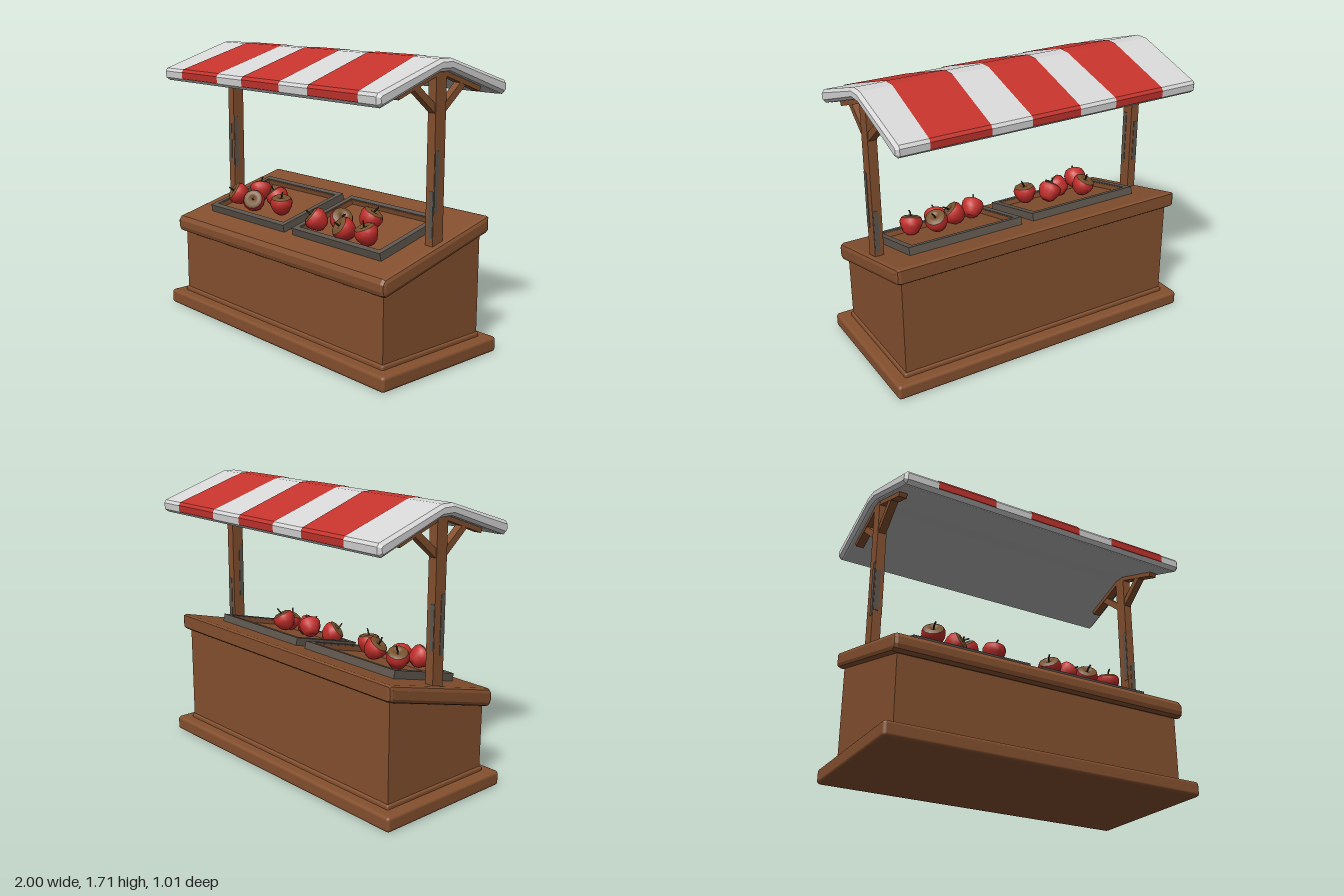
import * as THREE from 'three';
import { RoundedBoxGeometry } from 'three/addons/geometries/RoundedBoxGeometry.js';

const mat = (name, color, side = THREE.FrontSide) => {
  const m = new THREE.MeshStandardMaterial({ color, side });
  m.name = name;
  return m;
};

export function createModel() {
  const wood = mat('brown wood', 0x84502f);
  const worn = mat('worn grey wood', 0x5e564e);
  const white = mat('white canvas', 0xd8d8d8);
  const shade = mat('canvas lining', 0xb4b4b4, THREE.DoubleSide);
  const red = mat('red canvas', 0xc6342d, THREE.DoubleSide);
  const apple = mat('apple red', 0xc22e2a);
  const russet = mat('apple russet', 0x75502c);
  const stemMat = mat('stem', 0x3a2a1c);

  const model = new THREE.Group();
  const add = (parent, name, geo, material, x = 0, y = 0, z = 0) => {
    const m = new THREE.Mesh(geo, material);
    m.name = name;
    m.position.set(x, y, z);
    parent.add(m);
    return m;
  };
  const box = (w, h, d) => new THREE.BoxGeometry(w, h, d);

  // Extrudes a [z, y] profile along x, with bevelled ends
  const extrudeX = (pts, width, bevel, segments = 1) => {
    const shape = new THREE.Shape(pts.map(([z, y]) => new THREE.Vector2(-z, y)));
    const depth = width - 2 * bevel;
    const geo = new THREE.ExtrudeGeometry(shape, {
      depth, bevelEnabled: bevel > 0, bevelThickness: bevel,
      bevelSize: bevel, bevelOffset: -bevel, bevelSegments: segments,
    });
    return geo.translate(0, 0, -depth / 2).rotateY(Math.PI / 2);
  };

  // Stand: plinth, moulding, body with sloped top, countertop
  add(model, 'plinth', new RoundedBoxGeometry(2, 0.09, 0.92, 2, 0.02), wood, 0, 0.045, 0.02);
  add(model, 'plinthMoulding', new RoundedBoxGeometry(1.855, 0.04, 0.785, 2, 0.012), wood, 0, 0.095, 0.02);
  add(model, 'body', extrudeX([[0.4, 0.05], [0.4, 0.53], [-0.36, 0.73], [-0.36, 0.05]], 1.83, 0), wood);
  add(model, 'countertop', extrudeX([
    [0.41, 0.492], [0.435, 0.505], [0.443, 0.53], [0.443, 0.57], [0.425, 0.597],
    [-0.38, 0.805], [-0.4, 0.8], [-0.4, 0.72], [-0.38, 0.705],
  ], 1.91, 0.025, 2), wood);

  // Beam between two [z, y] points
  const beam = (parent, name, a, b, width, thick) => {
    const dz = b[0] - a[0], dy = b[1] - a[1];
    const m = add(parent, name, box(width, thick, Math.hypot(dz, dy)), wood,
      0, (a[1] + b[1]) / 2, (a[0] + b[0]) / 2);
    m.rotation.x = -Math.atan2(dy, dz);
  };

  // Posts with roof arms and braces
  for (const s of [-1, 1]) {
    const post = new THREE.Group();
    post.name = s > 0 ? 'leftPost' : 'rightPost';
    post.position.x = s * 0.895;
    add(post, 'upright', box(0.055, 0.97, 0.08), wood, 0, 1.155, 0);
    for (const d of [-1, 1]) {
      beam(post, 'roofArm', [d * 0.03, 1.63], [d * 0.32, 1.525], 0.05, 0.03);
      beam(post, 'brace', [d * 0.02, 1.43], [d * 0.19, 1.57], 0.045, 0.04);
      // Weathered patches
      add(post, 'wornPatch', box(0.03, 0.26, 0.006), worn, s * 0.01, s > 0 ? 0.87 : 1.04, d * 0.04);
      add(post, 'wornSidePatch', box(0.006, 0.34, 0.03), worn, d * 0.0275, 1.05, 0.022);
    }
    model.add(post);
  }

  // Two tilted crates resting on the countertop
  const slope = Math.atan2(0.208, 0.805);
  const topAt = z => 0.707 - z * Math.tan(slope);
  for (const s of [-1, 1]) {
    const crate = new THREE.Group();
    crate.name = s > 0 ? 'leftCrate' : 'rightCrate';
    crate.position.set(s * 0.41, topAt(0.045), 0.045);
    crate.rotation.x = slope;
    const w = 0.74, d = 0.5, h = 0.05, t = 0.035;
    add(crate, 'crateFloor', box(w - 0.02, 0.012, d - 0.02), wood, 0, 0.004, 0);
    for (const e of [-1, 1]) {
      add(crate, 'crateEndBoard', box(w, h, t), worn, 0, h / 2 - 0.004, e * (d - t) / 2);
      add(crate, 'crateSideBoard', box(t, h, d - 2 * t), worn, e * (w - t) / 2, h / 2 - 0.004, 0);
      // Bare wood lining inside the boards
      add(crate, 'endLining', box(w - 2 * t, h - 0.012, 0.006), wood, 0, 0.02, e * (d / 2 - t));
      add(crate, 'sideLining', box(0.006, h - 0.012, d - 2 * t), wood, e * (w / 2 - t), 0.02, 0);
    }
    model.add(crate);
  }

  // Apples: red flesh, russet hollow, bent stem
  const lathe = pts => new THREE.LatheGeometry(pts.map(p => new THREE.Vector2(...p)), 12);
  const flesh = lathe([[0, -0.05], [0.025, -0.06], [0.048, -0.042], [0.066, -0.005], [0.07, 0.022], [0.06, 0.046]]);
  const hollow = lathe([[0.06, 0.046], [0.04, 0.056], [0.022, 0.053], [0, 0.038]]);
  const stem = new THREE.TubeGeometry(new THREE.QuadraticBezierCurve3(
    new THREE.Vector3(0, 0.035, 0), new THREE.Vector3(0, 0.065, 0), new THREE.Vector3(0.015, 0.09, 0)), 3, 0.005, 5);
  // x, z, lift, tilt about x, tilt about z
  [
    [-0.61, 0.19, 0.1, 0.9, 0.4], [-0.57, 0.05, 0.075, -0.3, 0.3], [-0.47, 0.18, 0.075, 1.0, -0.6],
    [-0.34, 0.09, 0.08, 0.3, 0.6], [-0.21, 0.17, 0.09, 0.1, -0.1],
    [0.16, 0.2, 0.075, 0.7, 0.6], [0.31, 0.15, 0.08, 0.4, -0.7], [0.47, 0.07, 0.085, -0.3, -0.4],
    [0.41, 0.21, 0.07, 0.9, 0.3], [0.58, 0.2, 0.07, 0.3, 0.2],
  ].forEach(([x, z, lift, rx, rz]) => {
    const g = new THREE.Group();
    g.name = 'apple';
    g.position.set(x, topAt(z) + lift, z);
    g.rotation.set(rx, 0, rz);
    add(g, 'appleFlesh', flesh, apple);
    add(g, 'appleHollow', hollow, russet);
    add(g, 'appleStem', stem, stemMat);
    model.add(g);
  });

  // Canopy: one thick white canvas with bevelled ends
  const upper = [
    [0.475, 1.487], [0.5, 1.505], [0.503, 1.545], [0.49, 1.563], [0.04, 1.708],
    [-0.04, 1.708], [-0.49, 1.563], [-0.503, 1.545], [-0.5, 1.505], [-0.475, 1.487],
  ];
  const lower = [[-0.04, 1.64], [0.04, 1.64]];
  add(model, 'canopy', extrudeX([...upper, ...lower], 1.93, 0.018), white);

  // Thin skin following [z, y] points, with x limits given for each point
  const skin = (pts, limits) => {
    const pos = [];
    for (let i = 0; i + 1 < pts.length; i++) {
      const [z0, y0] = pts[i], [z1, y1] = pts[i + 1];
      const [l0, r0] = limits(z0), [l1, r1] = limits(z1);
      pos.push(l0, y0, z0, r0, y0, z0, r1, y1, z1, l0, y0, z0, r1, y1, z1, l1, y1, z1);
    }
    const g = new THREE.BufferGeometry();
    g.setAttribute('position', new THREE.Float32BufferAttribute(pos, 3));
    g.computeVertexNormals();
    return g;
  };
  add(model, 'canopyLining', skin(
    [[0.465, 1.487], [0.04, 1.637], [-0.04, 1.637], [-0.465, 1.487]], () => [-0.94, 0.94]), shade);

  // Red stripes: x limits at the back, ridge and front
  const raised = upper.map(([z, y]) => [z * 1.007, y + 0.003]);
  [
    [[-0.71, -0.38], [-0.71, -0.36], [-0.76, -0.39]],
    [[-0.14, 0.17], [-0.14, 0.17], [-0.15, 0.19]],
    [[0.42, 0.78], [0.4, 0.76], [0.43, 0.82]],
  ].forEach(([back, ridge, front]) => {
    const limits = z => [0, 1].map(k =>
      THREE.MathUtils.lerp(ridge[k], (z < 0 ? back : front)[k], Math.min(1, Math.abs(z) / 0.5)));
    add(model, 'canopyStripe', skin(raised, limits), red);
  });

  return model;
}
